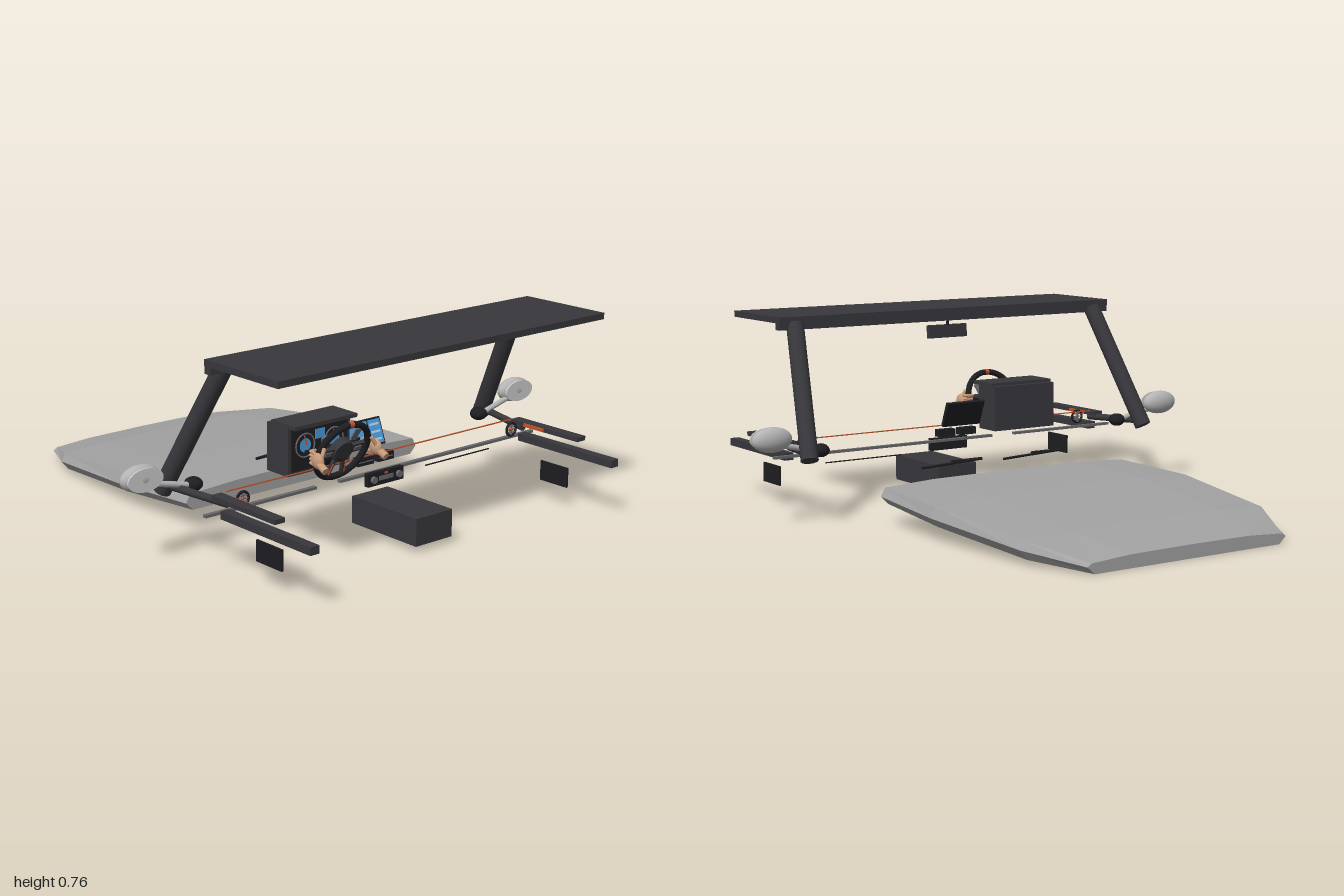
import * as THREE from 'three';

const material = (name, color, extra = {}) => {
  const m = new THREE.MeshStandardMaterial({ color, ...extra });
  m.name = name;
  return m;
};
const V = (x, y, z) => new THREE.Vector3(x, y, z);

export function createModel() {
  const root = new THREE.Group();
  root.name = 'carCockpit';
  const trim = material('charcoal trim', 0x38373c);
  const black = material('black plastic', 0x1e1e22);
  const paint = material('grey paint', 0xa2a2a2);
  const silver = material('silver shell', 0xb4b4b4);
  const glass = material('mirror glass', 0xcfcfcf);
  const blue = material('screen blue', 0x4a9bdc);
  const pale = material('pale icon', 0xb9dcf2);
  const orange = material('orange accent', 0xc4532a);
  const skin = material('skin', 0xc79b7b);
  const metal = material('dark metal', 0x68686c);

  const add = (name, geo, mat, x = 0, y = 0, z = 0, parent = root) => {
    const m = new THREE.Mesh(geo, mat);
    m.name = name;
    m.position.set(x, y, z);
    parent.add(m);
    return m;
  };
  // box given by its extents
  const box = (name, mat, x0, x1, y0, y1, z0, z1, parent = root) =>
    add(name, new THREE.BoxGeometry(x1 - x0, y1 - y0, z1 - z0), mat,
      (x0 + x1) / 2, (y0 + y1) / 2, (z0 + z1) / 2, parent);
  // round rod between two points
  const rod = (name, mat, a, b, r, parent = root, sides = 16) => {
    const m = add(name, new THREE.CylinderGeometry(r, r, a.distanceTo(b), sides), mat, 0, 0, 0, parent);
    m.position.copy(a).add(b).multiplyScalar(0.5);
    m.quaternion.setFromUnitVectors(V(0, 1, 0), b.clone().sub(a).normalize());
    return m;
  };
  const ball = (name, mat, p, sx, sy, sz, parent = root) => {
    const m = add(name, new THREE.SphereGeometry(1, 24, 16), mat, ...p, parent);
    m.scale.set(sx, sy, sz);
    return m;
  };

  // Hood lofted from cross-sections: z, half width, top, edge, bottom
  const sections = [[0.1, 0.575, 0.155, 0.11, 0.08], [-0.28, 0.595, 0.145, 0.092, 0.058],
    [-0.77, 0.55, 0.1, 0.058, 0.022], [-1, 0.44, 0.052, 0.028, 0.002]];
  const rings = sections.map(([z, w, t, e, b]) => {
    const half = [[w - 0.03, b], [w, e], [w - 0.018, t - 0.012], [w * 0.6, t - 0.002]];
    const left = half.slice().reverse().map(([x, y]) => [-x, y]);
    return [...half, [0, t], ...left].map(([x, y]) => V(x, y, z));
  });
  const tris = [];
  const n = rings[0].length;
  for (let s = 0; s < rings.length - 1; s++) {
    for (let i = 0; i < n; i++) {
      const a = rings[s], b = rings[s + 1], j = (i + 1) % n;
      tris.push(a[i], b[i], a[j], b[i], b[j], a[j]);
    }
  }
  const last = rings[rings.length - 1];
  for (let i = 1; i < n - 1; i++) {
    tris.push(rings[0][0], rings[0][i], rings[0][i + 1], last[0], last[i + 1], last[i]);
  }
  const hoodGeo = new THREE.BufferGeometry().setFromPoints(tris);
  hoodGeo.computeVertexNormals();
  add('hood', hoodGeo, paint);

  // Wipers
  for (const x of [-0.24, 0.13]) {
    rod('wiperBlade', black, V(x, 0.213, 0.09), V(x + 0.28, 0.205, 0.073), 0.005, root, 8);
    rod('wiperArm', black, V(x, 0.213, 0.092), V(x + 0.14, 0.215, 0.084), 0.006, root, 8);
  }

  // Roof, header rail and sun visors
  box('roof', trim, -0.78, 0.78, 0.736, 0.76, 0.49, 0.875);
  box('headerRail', trim, -0.78, 0.78, 0.71, 0.737, 0.492, 0.525);
  for (const x of [-0.39, 0.34]) box('sunVisor', black, x - 0.17, x + 0.17, 0.716, 0.726, 0.51, 0.635);

  // Interior mirror
  rod('mirrorStem', black, V(0, 0.735, 0.525), V(0, 0.68, 0.535), 0.006, root, 8);
  box('interiorMirrorHousing', trim, -0.09, 0.09, 0.638, 0.69, 0.528, 0.547);
  box('interiorMirrorGlass', glass, -0.086, 0.086, 0.642, 0.686, 0.547, 0.551);

  // Parts on both sides
  for (const s of [-1, 1]) {
    const side = new THREE.Group();
    side.name = s > 0 ? 'leftSide' : 'rightSide';
    root.add(side);
    rod('windscreenPillar', trim, V(s * 0.707, 0.73, 0.505), V(s * 0.79, 0.245, 0.25), 0.034, side);
    rod('pillarFoot', trim, V(s * 0.725, 0.255, 0.54), V(s * 0.775, 0.265, 0.29), 0.014, side, 10);
    box('armrest', trim, s * 0.73 - 0.019, s * 0.73 + 0.019, 0.203, 0.232, 0.53, 1, side);
    box('doorTrim', trim, s * 0.735 - 0.022, s * 0.735 + 0.022, 0.264, 0.281, 0.49, 0.83, side);
    box('doorHandle', orange, s * 0.71 - 0.004, s * 0.71 + 0.004, 0.266, 0.279, 0.56, 0.66, side);
    box('doorPocket', black, s * 0.7 - 0.004, s * 0.7 + 0.004, 0.08, 0.157, 0.665, 0.8, side);

    // Wing mirror
    ball('wingMirrorShell', silver, [s * 0.918, 0.328, 0.302], 0.082, 0.048, 0.037, side);
    const pane = add('wingMirrorGlass', new THREE.CylinderGeometry(1, 1, 1, 32), glass, s * 0.918, 0.328, 0.335, side);
    pane.rotation.x = Math.PI / 2;
    pane.scale.set(0.074, 0.006, 0.042);
    rod('wingMirrorArm', silver, V(s * 0.865, 0.3, 0.315), V(s * 0.72, 0.268, 0.325), 0.011, side);
    ball('mirrorJoint', black, [s * 0.705, 0.268, 0.32], 0.034, 0.026, 0.034, side);

    // Round air vent
    const vent = new THREE.Group();
    vent.name = 'roundVent';
    vent.position.set(s * 0.66, 0.26, 0.54);
    side.add(vent);
    add('ventRing', new THREE.TorusGeometry(0.025, 0.005, 10, 28), black, 0, 0, 0, vent);
    add('ventHub', new THREE.SphereGeometry(0.007, 12, 8), orange, 0, 0, 0, vent);
    for (const y of [-0.012, 0, 0.012]) box('ventSlat', metal, -0.022, 0.022, y - 0.0015, y + 0.0015, -0.008, 0.004, vent);
    box('ventBar', metal, -0.002, 0.002, -0.024, 0.024, -0.008, 0.004, vent);
  }

  // Dashboard strips
  box('dashStripRight', metal, -0.805, -0.31, 0.216, 0.226, 0.505, 0.522);
  box('dashStripLeft', metal, -0.2, 0.805, 0.216, 0.226, 0.505, 0.522);
  box('ambientStrip', orange, -0.7, 0.7, 0.283, 0.287, 0.5, 0.504);
  box('gloveBoxSeam', black, 0.25, 0.59, 0.183, 0.187, 0.49, 0.494);

  // Instrument binnacle
  box('binnacle', trim, -0.4, -0.11, 0.265, 0.445, 0.352, 0.468);
  box('binnacleVisor', trim, -0.4, -0.11, 0.443, 0.457, 0.375, 0.508);
  box('binnacleFace', black, -0.385, -0.125, 0.28, 0.44, 0.468, 0.473);
  for (const x of [-0.325, -0.19]) {
    add('gaugeRing', new THREE.TorusGeometry(0.043, 0.003, 8, 32), metal, x, 0.37, 0.474);
    add('gaugeDial', new THREE.CircleGeometry(0.026, 28), blue, x, 0.37, 0.4745);
    const needle = box('gaugeNeedle', orange, x - 0.002, x + 0.002, 0.37, 0.408, 0.475, 0.477);
    needle.rotation.z = 0.3;
  }
  box('binnacleScreen', blue, -0.28, -0.235, 0.385, 0.42, 0.473, 0.476);

  // Steering wheel
  const wheel = new THREE.Group();
  wheel.name = 'steeringWheel';
  wheel.position.set(-0.258, 0.365, 0.595);
  wheel.rotation.x = 0.4;
  root.add(wheel);
  add('wheelRim', new THREE.TorusGeometry(0.113, 0.012, 14, 48), black, 0, 0, 0, wheel);
  const mark = add('rimMarker', new THREE.TorusGeometry(0.113, 0.0128, 14, 6, 0.16), orange, 0, 0, 0, wheel);
  mark.rotation.z = Math.PI / 2 - 0.08;
  const hub = add('wheelHub', new THREE.CylinderGeometry(0.042, 0.048, 0.03, 28), trim, 0, 0, -0.005, wheel);
  hub.rotation.x = Math.PI / 2;
  for (const s of [-1, 1]) {
    box('sideSpoke', trim, s * 0.072 - 0.038, s * 0.072 + 0.038, -0.014, 0.018, -0.012, 0.004, wheel);
    box('spokeButtons', metal, s * 0.068 - 0.015, s * 0.068 + 0.015, -0.006, 0.01, 0.004, 0.008, wheel);
    rod('lowerSpoke', trim, V(s * 0.018, -0.03, -0.004), V(s * 0.035, -0.106, -0.002), 0.009, wheel, 10);
    rod('spokeAccent', orange, V(s * 0.028, -0.05, 0.005), V(s * 0.036, -0.095, 0.006), 0.003, wheel, 6);
    const paddle = box('shiftPaddle', metal, s * 0.072 - 0.014, s * 0.072 + 0.014, 0.015, 0.06, -0.03, -0.024, wheel);
    paddle.rotation.z = -s * 0.3;
    // Column stalk
    rod('stalk', black, V(-0.258 + s * 0.03, 0.36, 0.54), V(-0.258 + s * 0.125, 0.375, 0.545), 0.006, root, 8);
  }
  rod('steeringColumn', black, V(-0.258, 0.365, 0.59), V(-0.258, 0.3, 0.45), 0.034);

  // Hands gripping the rim
  for (const s of [-1, 1]) {
    const hand = new THREE.Group();
    hand.name = s > 0 ? 'leftHand' : 'rightHand';
    hand.position.set(-0.258 + s * 0.127, 0.36, 0.612);
    root.add(hand);
    ball('palm', skin, [s * 0.008, 0, 0.01], 0.017, 0.029, 0.028, hand);
    for (let i = 0; i < 4; i++) {
      const y = 0.022 - i * 0.014;
      rod('finger', skin, V(s * 0.01, y, 0.005), V(s * 0.002, y + 0.003, -0.036), 0.0065, hand, 8);
      rod('fingerTip', skin, V(s * 0.002, y + 0.003, -0.036), V(-s * 0.02, y + 0.002, -0.034), 0.006, hand, 8);
    }
    rod('thumb', skin, V(0, 0.012, 0.02), V(-s * 0.018, 0.042, 0.014), 0.0075, hand, 8);
    rod('wrist', skin, V(s * 0.01, -0.008, 0.02), V(s * 0.014, -0.026, 0.058), 0.014, hand, 12);
  }

  // Touch screen
  const screen = new THREE.Group();
  screen.name = 'touchScreen';
  screen.position.set(-0.002, 0.342, 0.43);
  screen.rotation.x = -0.38;
  root.add(screen);
  box('screenHousing', black, -0.088, 0.088, -0.052, 0.052, -0.014, 0, screen);
  box('screenPanel', blue, -0.082, 0.082, -0.045, 0.045, 0, 0.003, screen);
  box('screenDivider', black, 0.018, 0.021, -0.045, 0.045, 0.003, 0.005, screen);
  box('screenRoute', orange, -0.046, -0.042, -0.028, 0.022, 0.003, 0.005, screen);
  box('screenRouteTurn', orange, -0.042, -0.015, 0.018, 0.022, 0.003, 0.005, screen);
  for (const y of [-0.028, 0, 0.028]) box('screenTile', pale, 0.03, 0.072, y - 0.005, y + 0.003, 0.003, 0.005, screen);

  // Centre vents, control panel and console
  for (const s of [-1, 1]) {
    box('centreVent', black, s * 0.05 - 0.038, s * 0.05 + 0.038, 0.245, 0.274, 0.46, 0.492);
    box('centreVentSlat', metal, s * 0.05 - 0.034, s * 0.05 + 0.034, 0.258, 0.261, 0.492, 0.495);
  }
  box('controlPanel', black, -0.087, 0.087, 0.18, 0.23, 0.525, 0.545);
  for (const x of [-0.062, 0.062]) {
    const knob = add('climateKnob', new THREE.CylinderGeometry(0.013, 0.013, 0.012, 20), metal, x, 0.205, 0.55);
    knob.rotation.x = Math.PI / 2;
  }
  box('controlDisplay', metal, -0.035, 0.035, 0.197, 0.213, 0.545, 0.548);
  box('hazardButton', orange, -0.007, 0.007, 0.218, 0.226, 0.545, 0.548);
  box('centreConsole', trim, -0.088, 0.088, 0.025, 0.128, 0.46, 0.8);

  return root;
}
